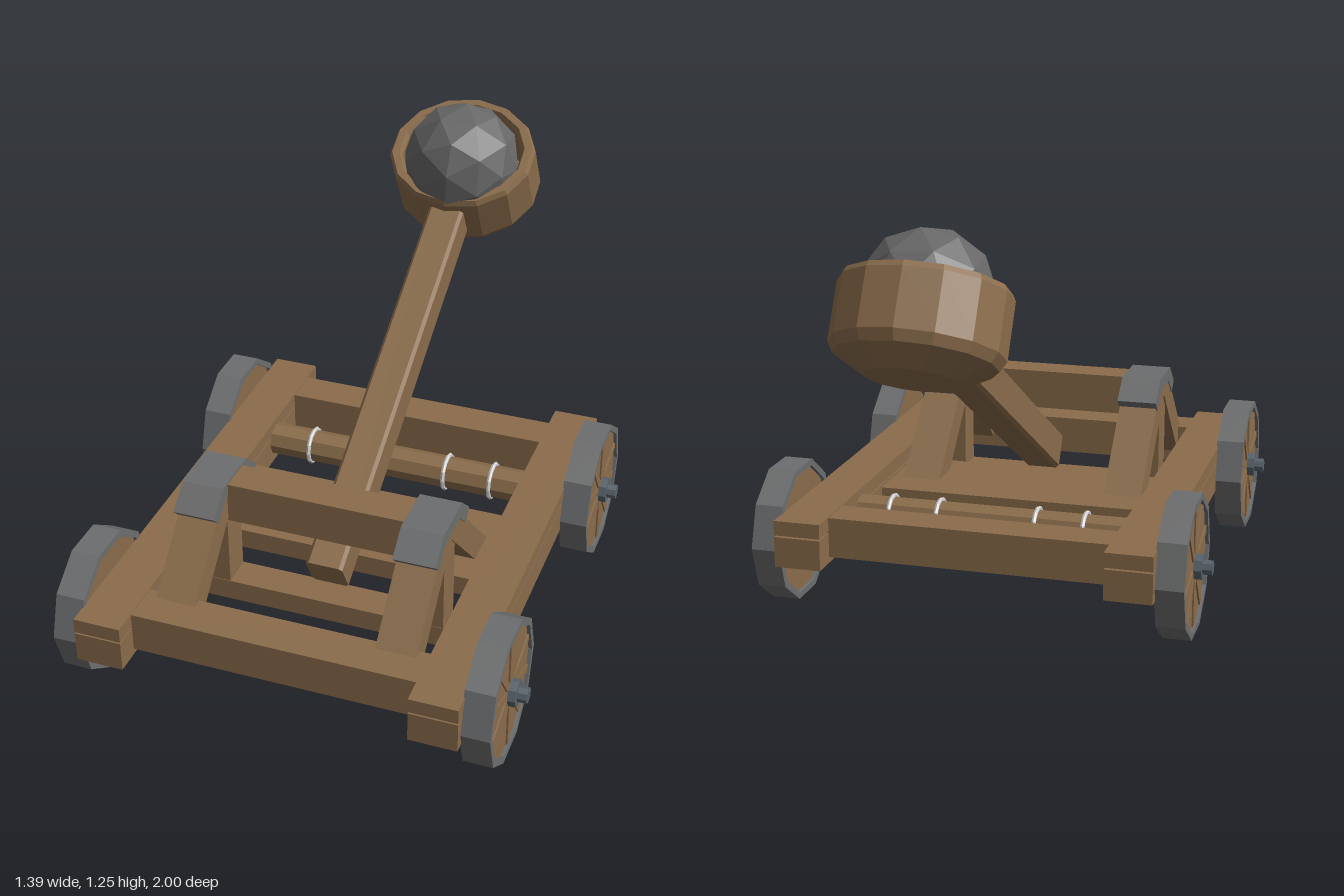
import * as THREE from 'three';

const mat = (name, color, flatShading = true) => {
  const m = new THREE.MeshStandardMaterial({ color, flatShading });
  m.name = name;
  return m;
};

export function createModel() {
  const wood = mat('wood', 0x8a6c4b);
  const iron = mat('iron', 0x6c6d6e);
  const hubIron = mat('hub iron', 0x59636b);
  const stone = mat('stone', 0x676767);
  const rope = mat('rope', 0xcfcfcf);
  const root = new THREE.Group();
  root.name = 'catapult';

  const add = (name, geo, material, parent = root) => {
    const m = new THREE.Mesh(geo, material);
    m.name = name;
    parent.add(m);
    return m;
  };
  // Box given by its limits on each axis
  const box = (name, x0, x1, y0, y1, z0, z1, parent = root) => {
    const g = new THREE.BoxGeometry(x1 - x0, y1 - y0, z1 - z0);
    g.translate((x0 + x1) / 2, (y0 + y1) / 2, (z0 + z1) / 2);
    return add(name, g, wood, parent);
  };
  // Profile of [z, y] points extruded along x, centred on x = 0
  const profileX = (points, width, hole) => {
    const toVec = (p) => new THREE.Vector2(p[0], p[1]);
    const shape = new THREE.Shape(points.map(toVec));
    if (hole) shape.holes.push(new THREE.Path(hole.map(toVec)));
    const g = new THREE.ExtrudeGeometry(shape, { depth: width, bevelEnabled: false });
    return g.translate(0, 0, -width / 2).rotateY(-Math.PI / 2);
  };
  const ngon = (r, n) => Array.from({ length: n }, (_, i) => {
    const a = (i / n) * Math.PI * 2;
    return [r * Math.cos(a), r * Math.sin(a)];
  });

  // Side rails, each of two stacked beams
  for (const s of [1, -1]) {
    const [a, b] = s > 0 ? [0.425, 0.567] : [-0.567, -0.425];
    box('railLower', a, b, 0.167, 0.26, -0.505, 1);
    box('railUpper', a, b, 0.265, 0.31, -0.505, 1);
  }

  // Cross beams and floor panel
  box('frontBeam', -0.47, 0.47, 0.185, 0.307, 0.8, 0.925);
  box('rearBeam', -0.47, 0.47, 0.185, 0.307, -0.43, -0.31);
  box('floorPanel', -0.47, 0.47, 0.19, 0.253, 0.043, 0.382);
  box('middleBeam', -0.383, 0.383, 0.145, 0.21, 0.475, 0.575);
  box('stopBeam', -0.385, 0.385, 0.435, 0.56, 0.468, 0.575);

  // Trestles: post, two sloping legs and an iron cap
  const mid = 0.525;
  for (const s of [1, -1]) {
    const x = s * 0.332;
    box('post', x - 0.055, x + 0.055, 0.16, 0.535, 0.478, 0.573);
    for (const d of [1, -1]) {
      const pts = [[0.392, 0.22], [0.072, 0.54], [0, 0.54], [0, 0.495], [0.275, 0.22]];
      const leg = add('trestleLeg', profileX(pts.map(([z, y]) => [mid + d * z, y]), 0.12), wood);
      leg.position.x = x;
    }
    const cap = [[-0.155, 0.505], [-0.083, 0.567], [0.083, 0.567], [0.155, 0.505],
      [0.122, 0.472], [0.065, 0.525], [-0.065, 0.525], [-0.122, 0.472]];
    add('trestleCap', profileX(cap.map(([z, y]) => [mid + z, y]), 0.126), iron).position.x = x;
  }

  // Roller with rope bindings
  const roller = new THREE.Group();
  roller.name = 'roller';
  roller.position.set(0, 0.24, -0.145);
  root.add(roller);
  add('rollerBar', new THREE.CylinderGeometry(0.052, 0.052, 0.92, 8).rotateZ(Math.PI / 2), wood, roller);
  for (const x of [-0.29, -0.14, 0.168, 0.32]) {
    const ring = new THREE.TorusGeometry(0.055, 0.007, 6, 12).rotateY(Math.PI / 2);
    add('ropeBinding', ring, rope, roller).position.x = x;
  }

  // Wheels
  for (const s of [1, -1]) {
    for (const z of [0.763, -0.265]) {
      const wheel = new THREE.Group();
      wheel.name = 'wheel';
      wheel.position.set(s * 0.607, 0.205, z);
      root.add(wheel);
      add('tyre', profileX(ngon(0.2155, 10), 0.087, ngon(0.195, 10)), iron, wheel);
      add('disc', profileX(ngon(0.197, 10), 0.066), wood, wheel);
      for (let i = 0; i < 10; i++) {
        const spoke = new THREE.BoxGeometry(0.006, 0.15, 0.024).translate(s * 0.035, 0.11, 0);
        add('spoke', spoke.rotateX((i / 10) * Math.PI * 2), wood, wheel);
      }
      add('hub', profileX(ngon(0.04, 8), 0.034), hubIron, wheel).position.x = s * 0.044;
      add('axleEnd', profileX(ngon(0.023, 8), 0.04), hubIron, wheel).position.x = s * 0.069;
    }
  }

  // Throwing arm: local y is square to the arm, local -z runs up it
  const arm = new THREE.Group();
  arm.name = 'throwingArm';
  arm.position.x = 0.013;
  arm.rotation.x = 0.513;
  root.add(arm);
  const w = 0.057, h = 0.0595, c = 0.01;
  const section = [[w, h - c], [w - c, h], [c - w, h], [-w, h - c],
    [-w, c - h], [c - w, -h], [w - c, -h], [w, c - h]];
  const beam = new THREE.ExtrudeGeometry(
    new THREE.Shape(section.map(([x, y]) => new THREE.Vector2(x, y))),
    { depth: 1.295, bevelEnabled: false });
  add('armBeam', beam.translate(0, 0.4955, -0.972), wood, arm);

  // Cup at the end of the arm
  const cupProfile = [[0, 0.335], [0.55, 0.335], [0.93, 0.385], [1, 0.415], [1, 0.58], [0.96, 0.597],
    [0.86, 0.597], [0.82, 0.58], [0.82, 0.41], [0, 0.41]];
  const cup = new THREE.LatheGeometry(cupProfile.map(([r, y]) => new THREE.Vector2(r, y)), 14);
  add('cup', cup.scale(0.24, 1, 0.216).translate(0, 0, -1.167), wood, arm);

  // Rough stone shot
  const shot = add('shot', new THREE.IcosahedronGeometry(0.19, 1), stone, arm);
  shot.position.set(0.003, 0.572, -1.145);
  shot.rotation.set(0.4, 0.3, 0.5);

  return root;
}
